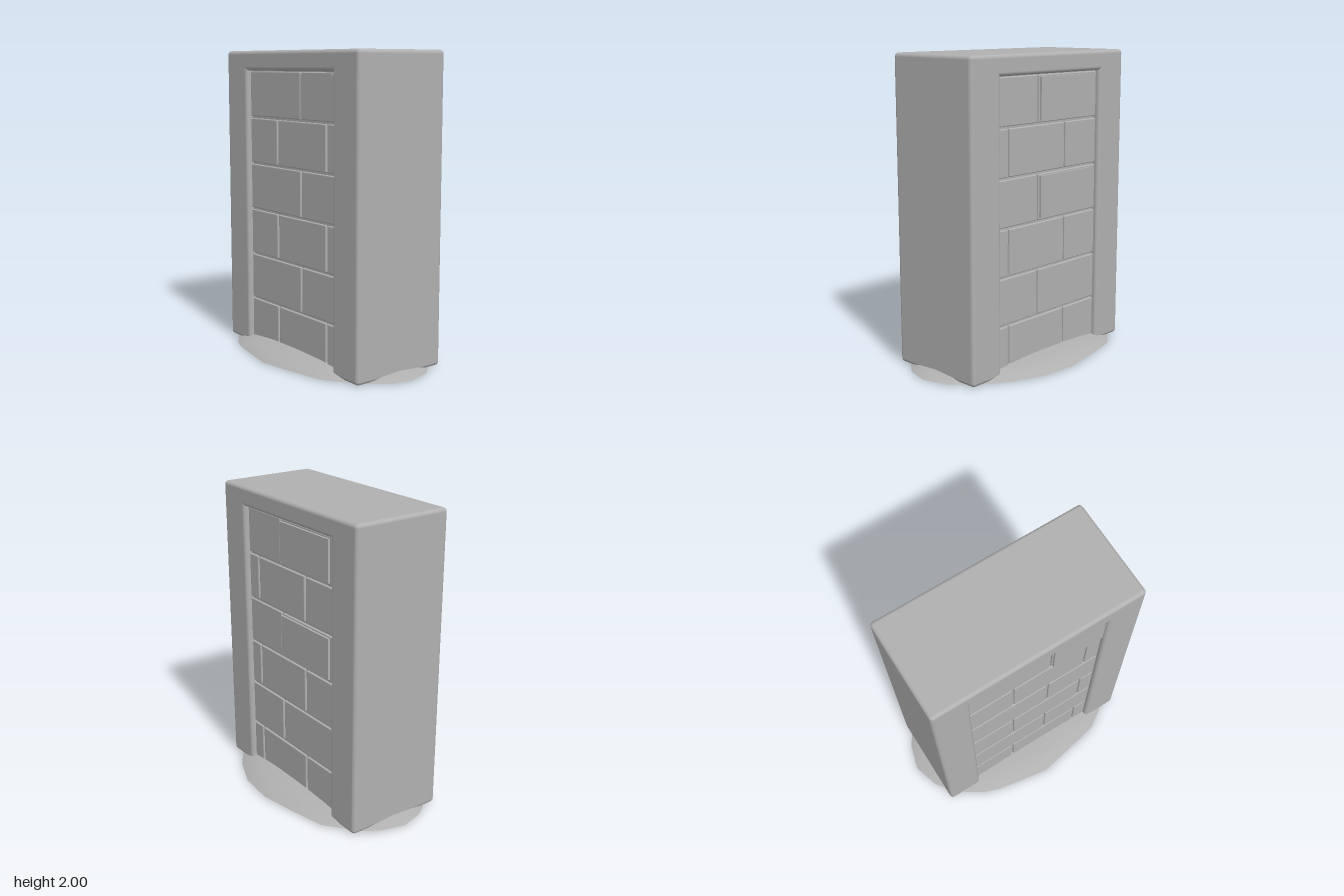
import * as THREE from 'three';
import { RoundedBoxGeometry } from 'three/addons/geometries/RoundedBoxGeometry.js';

export function createModel() {
  const model = new THREE.Group();
  model.name = 'brickWallSegment';
  const stone = new THREE.MeshStandardMaterial({ name: 'grey stone', color: 0xb0b0b0 });

  // Box given by its limits, with rounded edges when r > 0
  function block(name, x0, x1, y0, y1, z0, z1, r = 0, parent = model) {
    const size = [x1 - x0, y1 - y0, z1 - z0];
    const geo = r ? new RoundedBoxGeometry(...size, 3, r) : new THREE.BoxGeometry(...size);
    const mesh = new THREE.Mesh(geo, stone);
    mesh.name = name;
    mesh.position.set((x0 + x1) / 2, (y0 + y1) / 2, (z0 + z1) / 2);
    parent.add(mesh);
    return mesh;
  }

  // Frame: two pillars and a lintel
  const D = 0.34;
  block('rightPillar', -0.72, -0.475, 0.005, 1.97, -D, D, 0.025);
  block('leftPillar', 0.463, 0.71, 0.005, 1.97, -D, D, 0.025);
  block('lintel', -0.72, 0.71, 1.87, 2, -D, D, 0.025);

  // Recessed wall: mortar core with staggered brick courses
  const left = -0.5, right = 0.49, wallZ = 0.305, gap = 0.007, course = 0.311;
  block('mortarCore', left, right, 0.01, 1.9, -wallZ + 0.013, wallZ - 0.013);
  const bricks = new THREE.Group();
  bricks.name = 'bricks';
  model.add(bricks);
  for (let row = 0; row < 6; row++) {
    const joints = row % 2 ? [left, 0.095, right] : [left, -0.165, 0.36, right];
    const y = 0.005 + row * course;
    for (let i = 0; i < joints.length - 1; i++) {
      block('brick', joints[i] + gap, joints[i + 1] - gap, y + gap, y + course - gap,
        -wallZ, wallZ, 0.007, bricks);
    }
  }

  // Loose bricks standing slightly proud of the wall
  block('frontLooseBrick', 0.11, 0.48, 1.58, 1.85, 0.25, wallZ + 0.012);
  for (const y of [0.96, 1.58]) {
    block('backLooseBrick', -0.425, 0.08, y, y + 0.27, -wallZ - 0.015, -0.25);
  }

  // Low mound with an uneven outline, lofted from shrinking rings
  const outline = [
    [0.82, 0], [0.78, 0.15], [0.7, 0.25], [0.6, 0.34], [0.46, 0.435], [0.2, 0.49],
    [-0.02, 0.53], [-0.38, 0.465], [-0.49, 0.425], [-0.62, 0.34], [-0.72, 0.24], [-0.77, 0.17],
    [-0.82, 0], [-0.77, -0.17], [-0.71, -0.26], [-0.5, -0.43], [-0.24, -0.49],
    [0, -0.535], [0.25, -0.515], [0.46, -0.43], [0.6, -0.34], [0.77, -0.17],
  ];
  const rings = [[1, 0.003], [0.93, 0.025], [0.82, 0.046], [0.64, 0.064], [0.35, 0.075]];
  const n = outline.length, pos = [], idx = [];
  for (const [s, y] of rings) for (const [x, z] of outline) pos.push(x * s, y, z * s);
  const apex = pos.length / 3;
  pos.push(0, 0.078, 0);
  for (let i = 0; i < n; i++) {
    const j = (i + 1) % n;
    for (let r = 0; r < rings.length - 1; r++) {
      const a = r * n + i, b = r * n + j;
      idx.push(a, a + n, b, b, a + n, b + n);
    }
    const top = (rings.length - 1) * n;
    idx.push(top + i, apex, top + j);
  }
  const moundGeo = new THREE.BufferGeometry();
  moundGeo.setAttribute('position', new THREE.Float32BufferAttribute(pos, 3));
  moundGeo.setIndex(idx);
  moundGeo.computeVertexNormals();
  const mound = new THREE.Mesh(moundGeo, stone);
  mound.name = 'groundMound';
  model.add(mound);

  // Flat underside of the mound, facing down
  const shape = new THREE.Shape(outline.map(([x, z]) => new THREE.Vector2(x, z)));
  const underside = new THREE.Mesh(new THREE.ShapeGeometry(shape).rotateX(Math.PI / 2), stone);
  underside.name = 'moundUnderside';
  model.add(underside);

  return model;
}
